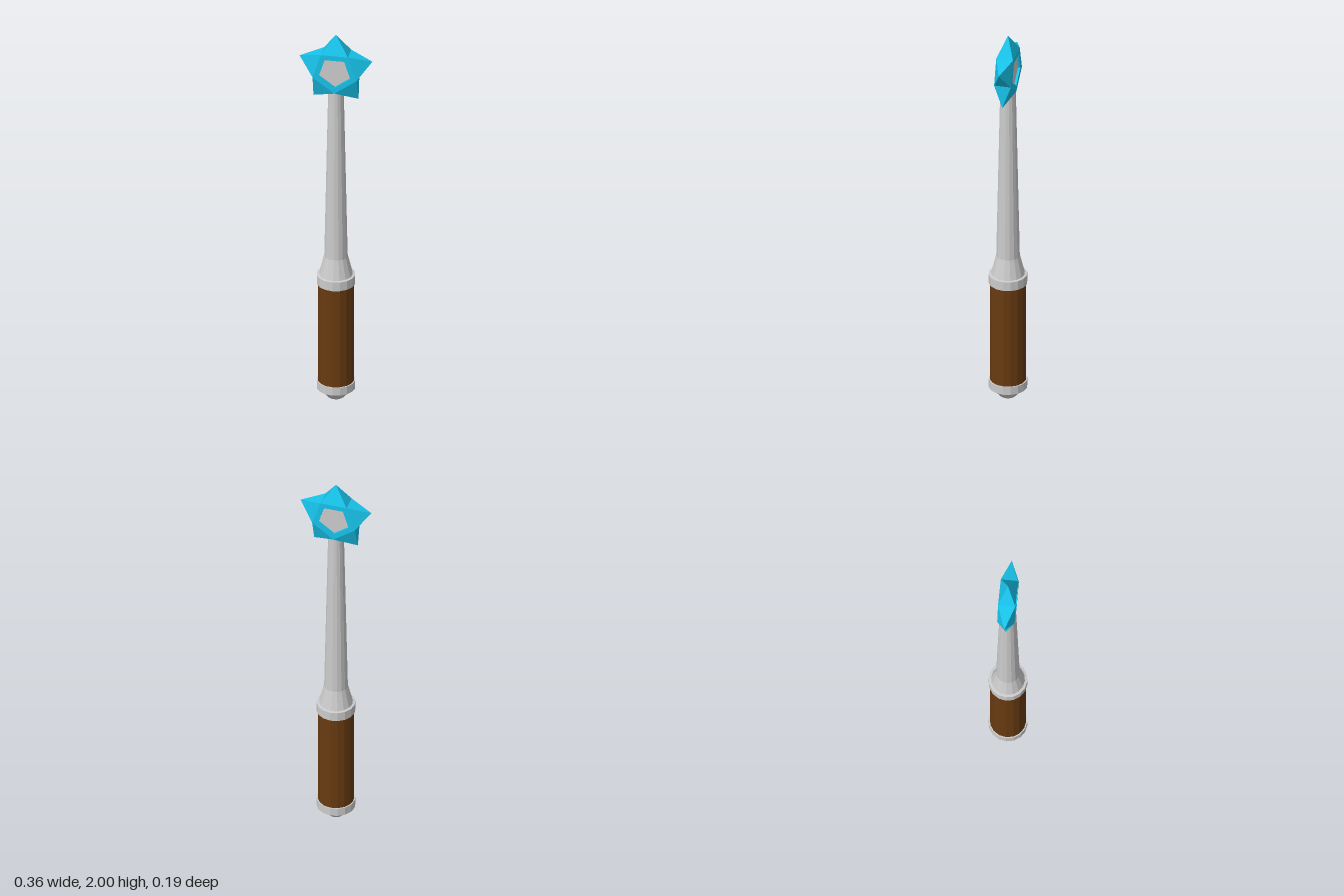
import * as THREE from 'three';

const SIDES = 16;
const material = (color) => new THREE.MeshStandardMaterial({ color, flatShading: true });

export function createModel() {
  const model = new THREE.Group();
  model.name = 'starWand';
  const grey = material(0xcccccc);
  const brown = material(0x683a11);
  const blue = material(0x17c3ea);

  const add = (parent, name, geometry, mat) => {
    const mesh = new THREE.Mesh(geometry, mat);
    mesh.name = name;
    parent.add(mesh);
    return mesh;
  };
  // Faceted turned part from [radius, height] pairs, bottom to top
  const turned = (name, points, mat) => add(model, name,
    new THREE.LatheGeometry(points.map(([r, y]) => new THREE.Vector2(r, y)), SIDES), mat);

  // Handle
  turned('pommel', [[0, 0], [0.04, 0.003], [0.083, 0.05], [0.095, 0.052], [0.095, 0.095], [0, 0.095]], grey);
  turned('grip', [[0.089, 0.09], [0.089, 0.635]], brown);
  turned('collar', [[0, 0.63], [0.095, 0.63], [0.095, 0.678], [0.083, 0.68], [0, 0.68]], grey);

  // Tapered shaft with a flared foot
  turned('shaft', [[0.083, 0.678], [0.058, 0.78], [0.038, 1.722], [0, 1.722]], grey);

  // Star head
  const star = new THREE.Group();
  star.name = 'starHead';
  star.position.y = 1.81;
  model.add(star);

  const OUTER = 0.114, INNER = 0.082, TIP = 0.19, HALF = 0.042;
  const pentagon = (r) => Array.from({ length: 5 }, (_, i) => {
    const a = -Math.PI / 2 + i * Math.PI * 2 / 5;
    return new THREE.Vector2(r * Math.cos(a), r * Math.sin(a));
  });

  // Five-sided frame with a recessed plate on both faces
  const outline = new THREE.Shape(pentagon(OUTER));
  outline.holes.push(new THREE.Path(pentagon(INNER).reverse()));
  const frame = new THREE.ExtrudeGeometry(outline, { depth: HALF * 2, bevelEnabled: false });
  frame.translate(0, 0, -HALF);
  add(star, 'starFrame', frame, blue);

  const plate = new THREE.ExtrudeGeometry(new THREE.Shape(pentagon(INNER + 0.002)),
    { depth: 0.06, bevelEnabled: false });
  plate.translate(0, 0, -0.03);
  add(star, 'starPlate', plate, grey);

  // Four-sided spike on each side of the frame
  const apothem = OUTER * Math.cos(Math.PI / 5);
  const height = TIP - apothem;
  const spike = new THREE.ConeGeometry(Math.SQRT1_2, 1, 4, 1, true);
  spike.rotateY(Math.PI / 4);
  spike.scale(2 * OUTER * Math.sin(Math.PI / 5), height, HALF * 2);
  spike.translate(0, apothem + height / 2, 0);
  for (let i = 0; i < 5; i++) {
    add(star, 'starSpike' + (i + 1), spike, blue).rotation.z = i * Math.PI * 2 / 5;
  }

  return model;
}
